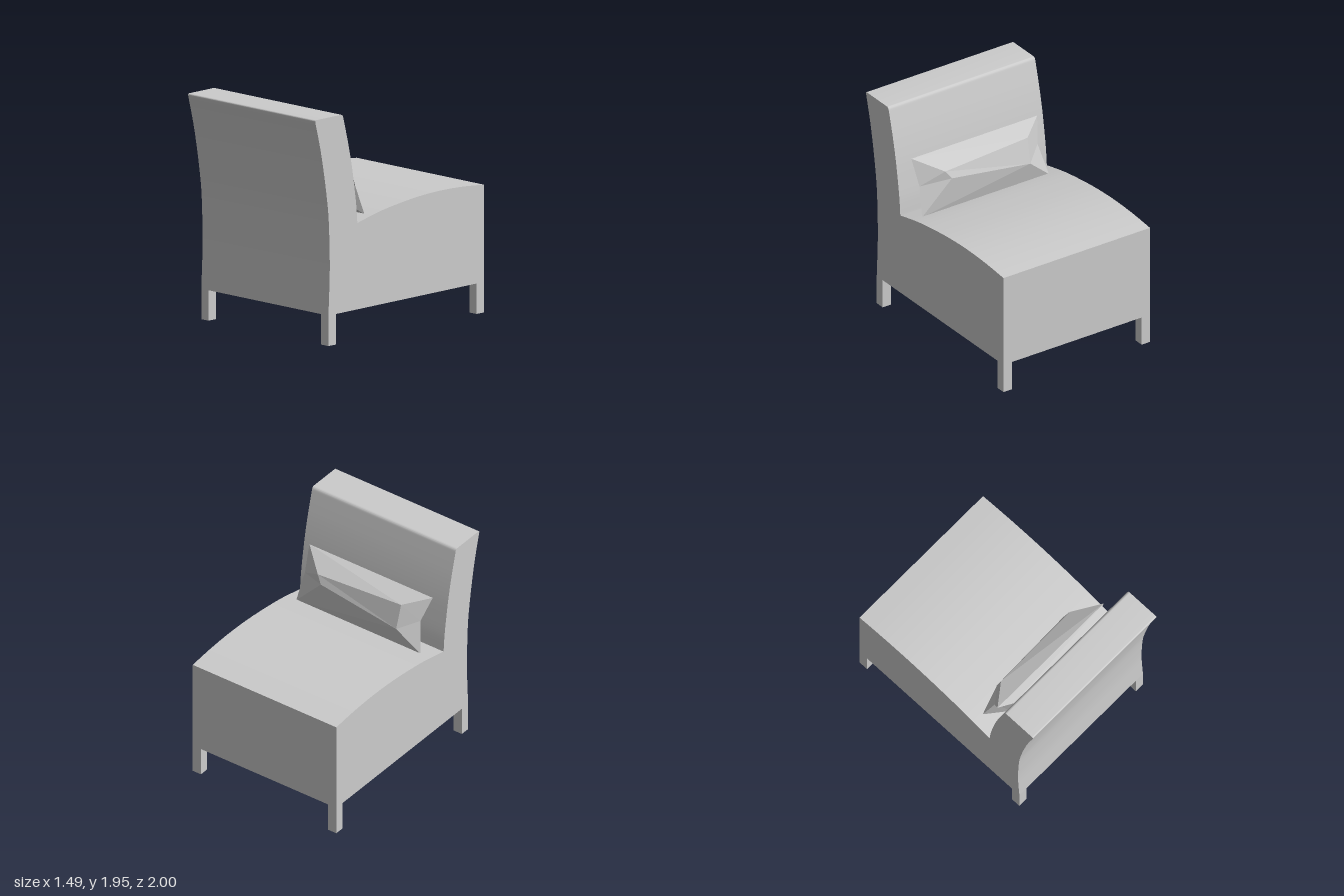
import * as THREE from 'three';
import { toCreasedNormals } from 'three/addons/utils/BufferGeometryUtils.js';

const HALF_WIDTH = 0.745;
const BASE_Y = 0.26;
const material = new THREE.MeshStandardMaterial({ color: 0xcccccc });

// Side profile (x = -z, y = height) pushed across the full width
function upholsteryGeometry() {
  const v = (z, y) => new THREE.Vector2(-z, y);
  const s = new THREE.Shape();
  s.moveTo(-0.843, BASE_Y);
  s.lineTo(1, BASE_Y);
  s.lineTo(1, 1.09);
  // crowned seat
  s.splineThru([v(-0.75, 1.112), v(-0.5, 1.12), v(-0.25, 1.112), v(0, 1.088), v(0.25, 1.052), v(0.5, 0.997)]);
  // raked front of the backrest
  s.splineThru([v(0.513, 1.15), v(0.537, 1.32), v(0.567, 1.5), v(0.61, 1.7), v(0.668, 1.925)]);
  // top with small rounded edges
  s.quadraticCurveTo(-0.675, 1.95, -0.695, 1.95);
  s.lineTo(-0.985, 1.95);
  s.quadraticCurveTo(-1.003, 1.95, -0.998, 1.93);
  // curved rear
  s.splineThru([v(0.94, 1.7), v(0.9, 1.5), v(0.867, 1.3), v(0.842, 1.1), v(0.83, 0.85), v(0.828, 0.6), v(0.843, BASE_Y)]);
  const g = new THREE.ExtrudeGeometry(s, { depth: 2 * HALF_WIDTH, bevelEnabled: false, curveSegments: 8 });
  g.rotateY(Math.PI / 2);
  g.translate(-HALF_WIDTH, 0, 0);
  return toCreasedNormals(g, 0.5);
}

// Faceted cushion: pointed corners, front and back panels, pinched ends
function pillowGeometry() {
  const p = {
    cornerTL: [0.64, 1.51, 0.49], cornerTR: [-0.64, 1.51, 0.49],
    cornerBL: [0.65, 1.03, 0.32], cornerBR: [-0.64, 1.03, 0.32],
    frontTL: [0.42, 1.4, 0.31], frontTR: [-0.43, 1.44, 0.33],
    frontBL: [0.37, 1.33, 0.285], frontBR: [-0.42, 1.22, 0.275],
    backTL: [0.46, 1.41, 0.545], backTR: [-0.49, 1.41, 0.535],
    backBL: [0.46, 1.2, 0.52], backBR: [-0.49, 1.18, 0.51],
    pinchL: [0.62, 1.28, 0.4], pinchR: [-0.58, 1.3, 0.4],
  };
  const pts = Object.fromEntries(Object.entries(p).map(([k, a]) => [k, new THREE.Vector3(...a)]));
  const centre = new THREE.Vector3(0, 1.28, 0.41);
  const out = [];
  // adds a triangle turned away from the centre
  const tri = (...names) => {
    const t = names.map((n) => pts[n]);
    const normal = new THREE.Triangle(...t).getNormal(new THREE.Vector3());
    if (normal.dot(t[0].clone().sub(centre)) < 0) t.reverse();
    t.forEach((q) => out.push(q.x, q.y, q.z));
  };
  const quad = (a, b, c, d) => { tri(a, b, c); tri(a, c, d); };
  for (const f of ['front', 'back']) {
    quad(f + 'TL', f + 'TR', f + 'BR', f + 'BL');
    for (const r of ['T', 'B']) quad('corner' + r + 'L', 'corner' + r + 'R', f + r + 'R', f + r + 'L');
    for (const e of ['L', 'R']) {
      tri('pinch' + e, f + 'T' + e, f + 'B' + e);
      for (const r of ['T', 'B']) tri('pinch' + e, 'corner' + r + e, f + r + e);
    }
  }
  const g = new THREE.BufferGeometry();
  g.setAttribute('position', new THREE.Float32BufferAttribute(out, 3));
  g.computeVertexNormals();
  return g;
}

export function createModel() {
  const group = new THREE.Group();
  group.name = 'armlessChair';
  const add = (name, geometry, mat = material) => {
    const mesh = new THREE.Mesh(geometry, mat);
    mesh.name = name;
    group.add(mesh);
    return mesh;
  };

  add('seatAndBackrest', upholsteryGeometry());

  // Square legs flush with the body corners
  const leg = new THREE.BoxGeometry(0.085, BASE_Y, 0.087);
  for (const [side, x] of [['left', 1], ['right', -1]]) {
    for (const [end, z] of [['Seat', -0.9565], ['Backrest', 0.7995]]) {
      add(side + end + 'Leg', leg).position.set(x * (HALF_WIDTH - 0.0425), BASE_Y / 2, z);
    }
  }

  const fabric = material.clone();
  fabric.flatShading = true;
  fabric.side = THREE.DoubleSide;
  add('pillow', pillowGeometry(), fabric);
  return group;
}
